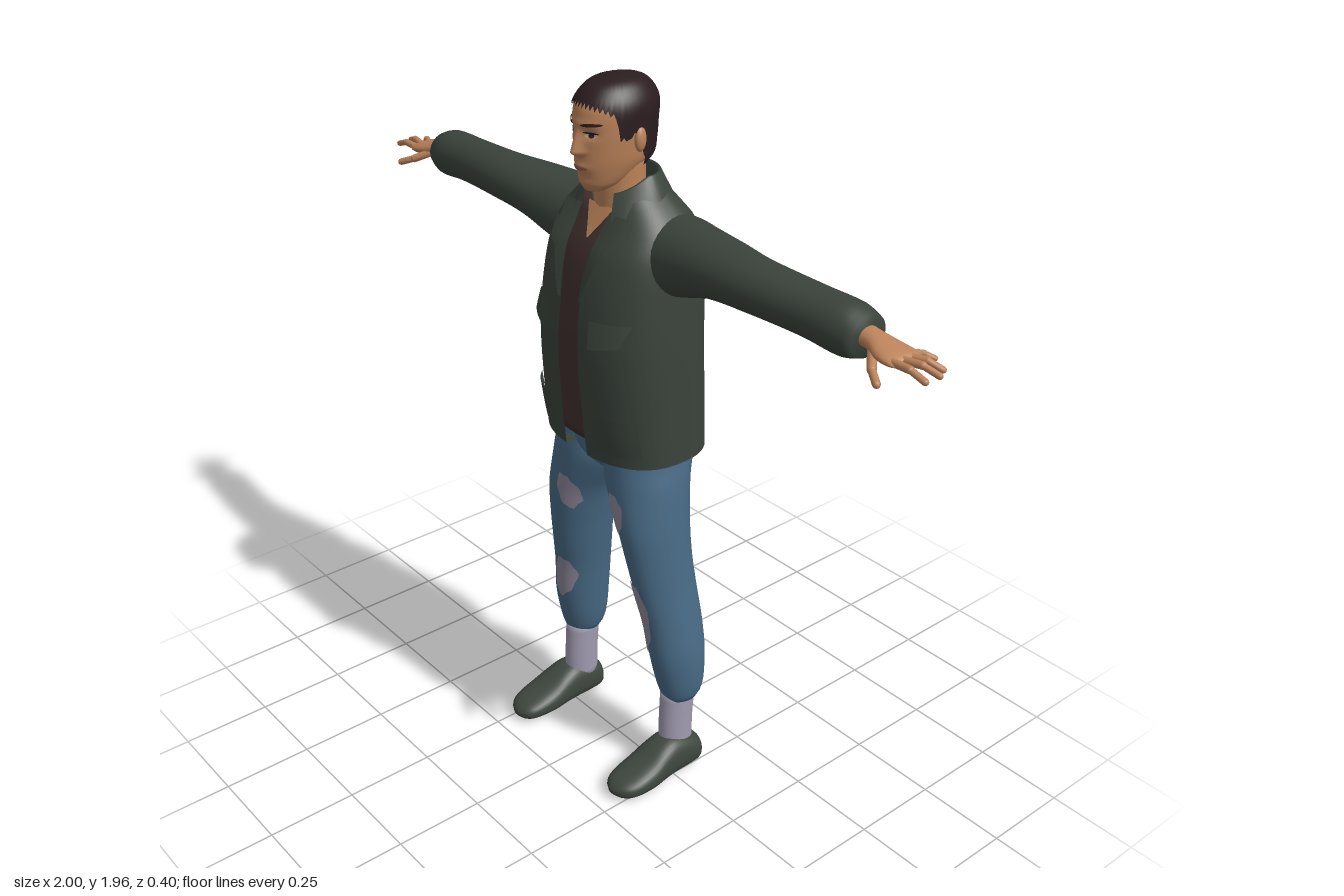
import * as THREE from 'three';
import { mergeVertices } from 'three/addons/utils/BufferGeometryUtils.js';

const { sin, cos, abs, sign, max, min, pow, exp, PI } = Math;
const mat = (name, color, side = THREE.FrontSide) =>
  Object.assign(new THREE.MeshStandardMaterial({ color, side }), { name });

// Surface from a grid of points f(u, v); front side is du x dv
function grid(nu, nv, f) {
  const pos = [], idx = [];
  for (let j = 0; j <= nv; j++) for (let i = 0; i <= nu; i++) pos.push(...f(i / nu, j / nv, i, j));
  for (let j = 0; j < nv; j++) for (let i = 0; i < nu; i++) {
    const a = j * (nu + 1) + i, d = a + nu + 1;
    idx.push(a, a + 1, d + 1, a, d + 1, d);
  }
  let g = new THREE.BufferGeometry();
  g.setAttribute('position', new THREE.Float32BufferAttribute(pos, 3));
  g.setIndex(idx);
  g = mergeVertices(g, 1e-5);
  g.computeVertexNormals();
  return g;
}

// Smoothly interpolated section [t, c1, c2, r1, r2] -> [c1, c2, r1, r2]
function section(S, t) {
  let i = 0;
  while (i < S.length - 2 && t > S[i + 1][0]) i++;
  const A = S[i], B = S[i + 1], P = S[max(i - 1, 0)], Q = S[min(i + 2, S.length - 1)];
  const h = B[0] - A[0], u = min(1, max(0, (t - A[0]) / h)), u2 = u * u, u3 = u2 * u;
  return [1, 2, 3, 4].map(k => {
    const m0 = (B[k] - P[k]) / (B[0] - P[0]) * h, m1 = (Q[k] - A[k]) / (Q[0] - A[0]) * h;
    return (2 * u3 - 3 * u2 + 1) * A[k] + (u3 - 2 * u2 + u) * m0 + (3 * u2 - 2 * u3) * B[k] + (u3 - u2) * m1;
  });
}
const sup = (c, n) => sign(c) * pow(abs(c), 2 / n);

// Loft of superellipses along an axis; gap(t, rx) is the half angle left open at the front
function loft(S, { axis = 'y', n = 2, nu = 32, nv = 32, cap = true, gap = null, bump = null } = {}) {
  const t0 = S[0][0], t1 = S[S.length - 1][0], rows = cap ? nv + 2 : nv;
  return grid(nu, rows, (u, v, i, j) => {
    const k = cap ? min(nv, max(0, j - 1)) : j, t = t0 + (t1 - t0) * k / nv;
    const [c1, c2, r1, r2] = section(S, t), s = cap && (j === 0 || j === rows) ? 0 : 1;
    const g = gap ? gap(t, r1) : 0, th = -PI / 2 + g + (i === nu && !gap ? 0 : u) * (2 * PI - 2 * g);
    const a = s * r1 * sup(cos(th), n), b = s * r2 * sup(sin(th), n);
    if (axis === 'x') return [t, c1 + a, c2 + b];
    if (axis === 'z') return [c1 + a, c2 + b, t];
    return [c1 + a, t, c2 - b + (bump && b < 0 ? bump(c1 + a, t) : 0)];
  });
}
// Height of the front of an upright loft above (x, y)
function front(S, x, y, n = 2) {
  const [cx, cz, rx, rz] = section(S, y);
  return cz + rz * pow(max(0, 1 - pow(min(1, abs((x - cx) / rx)), n)), 1 / n);
}
// Thin oval and four-cornered plates laid over a surface z(x, y)
const oval = (cx, cy, rx, ry, rot, z, off, wob = 0) => grid(28, 5, (u, v) => {
  const a = -u * 2 * PI, r = v * (1 + wob * sin(3 * a + 1) + wob * sin(7 * a));
  const p = r * rx * cos(a), q = r * ry * sin(a);
  const x = cx + p * cos(rot) - q * sin(rot), y = cy + p * sin(rot) + q * cos(rot);
  return [x, y, z(x, y) + off];
});
const quad = (bl, br, tr, tl, z, off) => grid(10, 14, (u, v) => {
  const m = k => (1 - v) * (bl[k] + (br[k] - bl[k]) * u) + v * (tl[k] + (tr[k] - tl[k]) * u);
  return [m(0), m(1), z(m(0), m(1)) + off(u, v)];
});
function mirrored(g) {
  const m = g.clone().scale(-1, 1, 1), ix = m.index.array;
  for (let i = 0; i < ix.length; i += 3) [ix[i], ix[i + 1]] = [ix[i + 1], ix[i]];
  m.computeVertexNormals();
  return m;
}

// Sections: upright parts [y, x, z, rx, rz], arms [x, y, z, ry, rz], shoes [z, x, y, rx, ry]
const JACKET = [[1.0, 0, -.03, .226, .165], [1.1, 0, -.024, .224, .171], [1.3, 0, -.015, .22, .174],
  [1.45, 0, -.022, .213, .168], [1.55, 0, -.032, .204, .152], [1.61, 0, -.04, .184, .125],
  [1.65, 0, -.037, .15, .1], [1.69, 0, -.03, .108, .078]];
const SHIRT = JACKET.slice(1, 7).map(([y, x, z, a, b]) => [y === 1.1 ? 1.04 : y, x, z, a - .025, b - .018]);
const SLEEVE = [[.07, 1.57, -.06, .065, .09], [.18, 1.545, -.057, .096, .106], [.25, 1.553, -.047, .088, .1],
  [.35, 1.57, -.032, .071, .09], [.48, 1.577, -.017, .063, .075], [.65, 1.572, -.025, .06, .068],
  [.76, 1.564, -.032, .063, .066], [.8, 1.562, -.035, .05, .054]];
const HAND = [[.77, 1.565, -.035, .026, .03], [.82, 1.562, -.033, .022, .031], [.86, 1.554, -.03, .02, .044],
  [.895, 1.549, -.032, .016, .049], [.915, 1.547, -.034, .01, .044]];
const LEG = [[.25, .216, -.05, .044, .052], [.27, .215, -.052, .053, .062], [.31, .213, -.05, .061, .072],
  [.4, .208, -.042, .067, .083], [.5, .195, -.035, .067, .087], [.6, .178, -.022, .068, .093],
  [.7, .163, -.01, .073, .098], [.8, .145, -.005, .083, .106], [.92, .108, -.015, .107, .118],
  [.98, .1, -.025, .103, .127], [1.06, .095, -.03, .1, .13]];
const HIPS = [[.925, 0, -.015, .05, .07], [.95, 0, -.02, .12, .1], [1.0, 0, -.027, .195, .127], [1.08, 0, -.03, .195, .13]];
const SOCK = [[.07, .214, -.038, .04, .052], [.16, .213, -.038, .04, .052], [.28, .212, -.045, .042, .053]];
const SHOE = [[-.107, .222, .05, .02, .03], [-.095, .222, .052, .043, .042], [-.05, .222, .061, .051, .055],
  [0, .222, .066, .054, .06], [.04, .223, .06, .057, .054], [.09, .224, .047, .061, .041],
  [.15, .224, .038, .056, .029], [.185, .222, .034, .04, .02], [.2, .221, .032, .014, .008]];
const NECK = [[1.58, 0, -.02, .075, .07], [1.66, 0, -.01, .066, .065], [1.77, 0, -.005, .064, .066]];
const HEAD = [[1.695, 0, .068, .028, .026], [1.715, 0, .045, .05, .058], [1.76, 0, .015, .07, .1],
  [1.8, 0, .011, .077, .106], [1.85, 0, .01, .081, .108], [1.9, 0, .006, .08, .106],
  [1.93, 0, .003, .064, .085], [1.947, 0, .001, .042, .057], [1.955, 0, 0, .012, .016]];

// Nose, eye sockets, brow, lips and chin pushed out of the face
function face(x, y) {
  const p = y > 1.795 ? max(0, (1.86 - y) / .065) : max(0, (y - 1.781) / .014);
  return .025 * p * exp(-pow(x / (.008 + .008 * p), 2))
    - .007 * exp(-pow((abs(x) - .033) / .015, 2) - pow((y - 1.84) / .011, 2))
    + .004 * exp(-pow(x / .05, 2) - pow((y - 1.864) / .01, 2))
    + .006 * exp(-pow(x / .025, 2) - pow((y - 1.757) / .011, 2))
    + .005 * exp(-pow(x / .025, 2) - pow((y - 1.715) / .012, 2));
}
// Lower edge of the hair from back (-1) to front (1)
const HEM = [[-1, 1.745], [-.45, 1.75], [-.2, 1.79], [-.1, 1.84], [.1, 1.84], [.16, 1.825],
  [.4, 1.83], [.5, 1.885], [.7, 1.897], [1, 1.907]];
function hem(f) {
  let i = 0;
  while (i < HEM.length - 2 && f > HEM[i + 1][0]) i++;
  const [a, b] = [HEM[i], HEM[i + 1]];
  return a[1] + (b[1] - a[1]) * (f - a[0]) / (b[0] - a[0]);
}

export function createModel() {
  const root = new THREE.Group();
  root.name = 'standingMan';
  const D = THREE.DoubleSide;
  const jacket = mat('jacketGreen', 0x3a433b, D), shirt = mat('shirtBrown', 0x41302f, D), skin = mat('skin', 0xbb8259),
    hair = mat('hairDark', 0x2b1d1f, D), denim = mat('denimBlue', 0x486a85), patch = mat('patchGrey', 0x8e8799, D),
    sock = mat('sockGrey', 0xa19bb0), shoe = mat('shoeGrey', 0x3f463f), lip = mat('lips', 0x8c5a49, D),
    white = mat('eyeWhite', 0xb5a498, D);
  const add = (name, g, m) => {
    const o = new THREE.Mesh(g, m);
    o.name = name;
    root.add(o);
  };
  const pair = (name, g, m) => { add(name + 'Left', g, m); add(name + 'Right', mirrored(g), m); };

  // Open jacket over the shirt
  const gap = (y, rx) => {
    const x = y > 1.45 ? .036 + (y - 1.45) * .13 : .036 + (1.45 - y) * .015;
    return Math.asin(pow(x / rx, 1.25));
  };
  const jz = (x, y) => front(JACKET, x, y, 2.5), sz = (x, y) => front(SHIRT, x, y, 2.5);
  add('jacketBody', loft(JACKET, { n: 2.5, nu: 56, nv: 40, cap: false, gap }), jacket);
  add('jacketHem', loft([[1.0, 0, -.03, .19, .13], [1.001, 0, -.03, .226, .165]], { n: 2.5, nu: 56, nv: 1, cap: false, gap }), jacket);
  add('shirt', loft(SHIRT, { n: 2.5, nu: 48, nv: 24 }), shirt);
  add('neckOpening', quad([-.002, 1.575], [.002, 1.575], [.048, 1.65], [-.048, 1.65], sz, () => .006), skin);

  // Turned-over collar, lapels and pockets
  const ROLL = [[.142, 1.645], [.118, 1.688], [.096, 1.728], [.084, 1.726], [.074, 1.65]];
  add('collar', grid(40, 4, (u, v, i, j) => {
    const th = -PI / 2 + .58 + u * (2 * PI - 1.16), [r, y] = ROLL[j], f = max(0, -sin(th));
    return [r * cos(th), y - .045 * f, -.023 - r * .87 * sin(th) + .008 * f];
  }), jacket);
  pair('lapel', quad([.034, 1.425], [.04, 1.425], [.118, 1.645], [.052, 1.645], jz, (u, v) => .004 + .012 * u * (.3 + v)), jacket);
  pair('lapelNotch', quad([.07, 1.53], [.105, 1.555], [.122, 1.6], [.08, 1.6], jz, u => .012 + .006 * u), jacket);
  pair('breastPocketFlap', quad([.085, 1.325], [.165, 1.345], [.18, 1.4], [.075, 1.395], jz, (u, v) => .002 + .012 * (1 - v)), jacket);
  pair('lowerPocket', quad([.08, 1.03], [.195, 1.03], [.195, 1.14], [.085, 1.14], jz, (u, v) => .002 + .01 * v), jacket);
  pair('sleeve', loft(SLEEVE, { axis: 'x', nv: 36 }), jacket);

  // Hands with spread fingers: knuckle, middle joint, tip, radius
  pair('hand', loft(HAND, { axis: 'x', nu: 20, nv: 12 }), skin);
  const FINGERS = [
    ['indexFinger', [.9, 1.55, .0], [.95, 1.552, .002], [.99, 1.538, -.001], .0095],
    ['middleFinger', [.905, 1.55, -.024], [.955, 1.553, -.032], [.993, 1.54, -.042], .0095],
    ['ringFinger', [.9, 1.55, -.046], [.942, 1.55, -.063], [.972, 1.535, -.078], .009],
    ['littleFinger', [.885, 1.549, -.064], [.91, 1.547, -.088], [.925, 1.535, -.107], .008],
    ['thumb', [.835, 1.55, -.01], [.87, 1.53, .028], [.905, 1.516, .05], .011]];
  for (const [name, a, b, c, r] of FINGERS) [[a, b, 'Base'], [b, c, 'Tip']].forEach(([p, q, part], k) => {
    const P = new THREE.Vector3(...p), d = new THREE.Vector3(...q).sub(P), len = d.length(), R = r * (1 - .15 * k);
    const g = new THREE.CapsuleGeometry(R, len, 4, 10).translate(0, len / 2, 0);
    g.applyQuaternion(new THREE.Quaternion().setFromUnitVectors(new THREE.Vector3(0, 1, 0), d.normalize()));
    pair(name + part, g.translate(P.x, P.y, P.z), skin);
  });

  // Jeans with worn patches, socks and shoes
  add('jeansHips', loft(HIPS, { nu: 40, nv: 14 }), denim);
  pair('jeansLeg', loft(LEG, { nv: 48 }), denim);
  const lz = (x, y) => front(LEG, abs(x), y);
  [[-.102, .81, .025, .06, 0], [-.18, .475, .03, .075, -.2], [.12, .85, .026, .056, .2], [.175, .535, .03, .112, .1]]
    .forEach(([x, y, a, b, r], i) => add('wornPatch' + (i + 1), oval(x, y, a, b, r, lz, .004, .06), patch));
  pair('sock', loft(SOCK, { nu: 24, nv: 6 }), sock);
  pair('shoe', loft(SHOE, { axis: 'z', n: 2.5, nv: 30 }), shoe);

  // Head and face
  add('neck', loft(NECK, { nu: 28, nv: 8 }), skin);
  add('head', loft(HEAD, { nu: 96, nv: 64, bump: face }), skin);
  const hz = (x, y) => front(HEAD, x, y) + face(x, y);
  pair('eye', oval(.034, 1.839, .015, .0055, .05, hz, .002), white);
  pair('iris', oval(.034, 1.839, .0065, .0055, 0, hz, .0035), hair);
  pair('upperLid', oval(.034, 1.845, .017, .0025, -.05, hz, .003), hair);
  pair('eyebrow', oval(.036, 1.865, .022, .0042, .08, hz, .003), hair);
  add('mouth', oval(0, 1.757, .025, .006, 0, hz, .002), lip);
  pair('ear', new THREE.SphereGeometry(1, 16, 12).scale(.012, .031, .019).rotateY(.3).translate(.084, 1.822, -.002), skin);

  // Short hair with a ragged hairline
  add('hair', grid(96, 20, (u, v, i, j) => {
    const th = -PI / 2 + (i === 96 ? 0 : u) * 2 * PI, f = -sin(th);
    const b = hem(f) + (i % 2 ? .004 : -.004) * (f > .3 ? 1.4 : .6);
    const y = b + (1.955 - b) * sin(min(1, j / 19) * PI / 2), [cx, cz, rx, rz] = section(HEAD, y), s = j === 20 ? 0 : 1;
    const back = f < 0 ? .006 * -f : 0;
    return [cx + s * (rx + .007) * cos(th), y + .007 * max(0, (y - 1.9) / .055), cz + s * (rz + .006 + back) * f];
  }), hair);
  return root;
}
